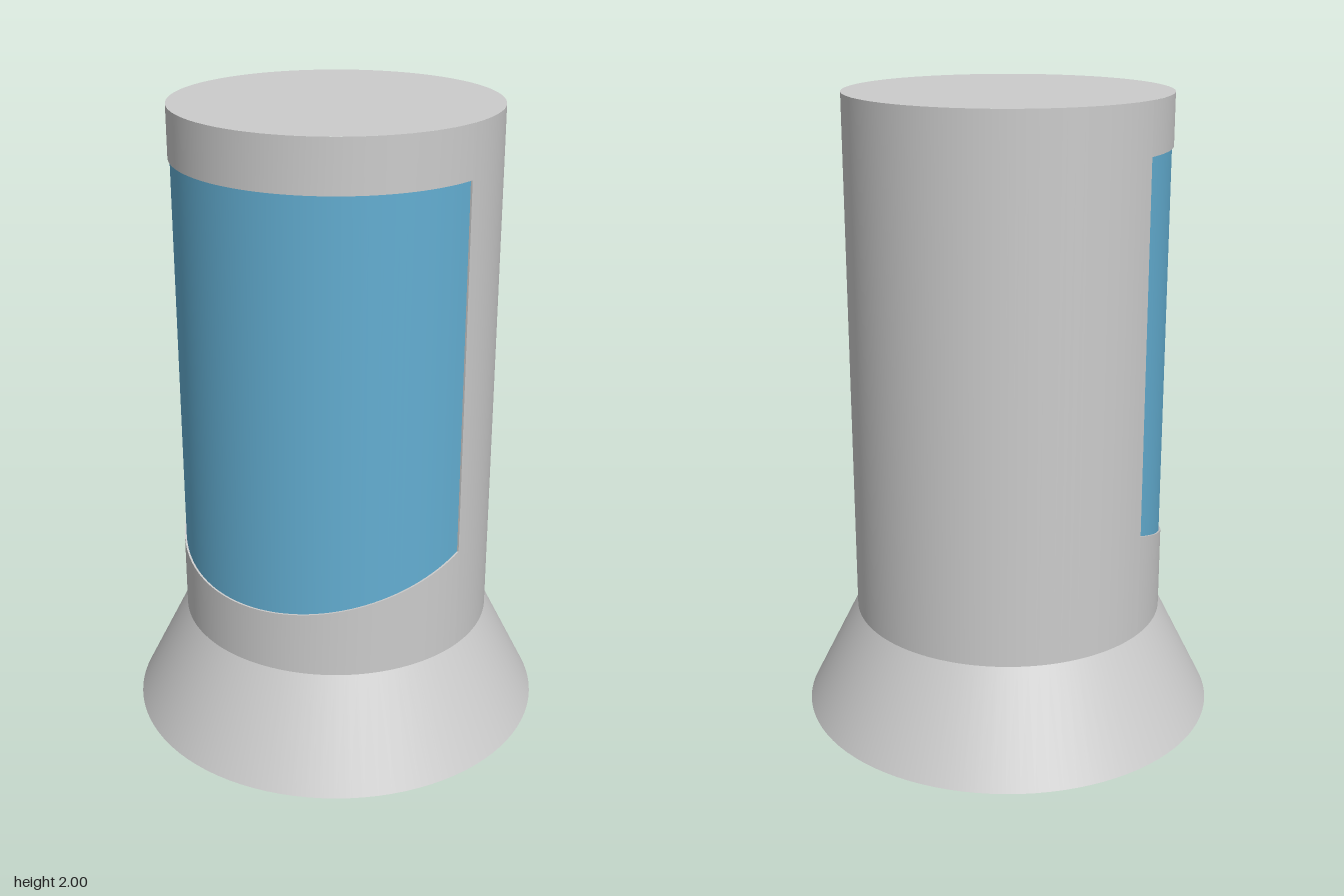
import * as THREE from 'three';

const R = 0.5, INNER = 0.494, NECK = 0.335, TOP = 2, WIN_TOP = 1.84;
const HALF = Math.acos(0.06 / R); // half angle of the recessed window

// Window sill: a slanted plane, lower towards the front
const sill = (a) => 0.67 - ((R * Math.cos(a) - 0.06) / 0.44) * 0.14;
const at = (r, a, y) => [r * Math.sin(a), y, r * Math.cos(a)];
const mix = THREE.MathUtils.lerp;

// Grid surface from a rule (u, v) -> point; faces du x dv
function surface(rule, nu, nv = 1) {
  const pos = [], index = [];
  for (let j = 0; j <= nv; j++)
    for (let i = 0; i <= nu; i++) pos.push(...rule(i / nu, j / nv));
  for (let j = 0; j < nv; j++)
    for (let i = 0; i < nu; i++) {
      const a = j * (nu + 1) + i, b = a + 1, c = a + nu + 1, d = c + 1;
      index.push(a, b, d, a, d, c);
    }
  const g = new THREE.BufferGeometry();
  g.setAttribute('position', new THREE.Float32BufferAttribute(pos, 3));
  g.setIndex(index);
  g.computeVertexNormals();
  return g;
}

export function createModel() {
  const model = new THREE.Group();
  const grey = new THREE.MeshStandardMaterial({ color: 0xcccccc });
  const blue = new THREE.MeshStandardMaterial({ color: 0x63aed2 });
  const add = (name, geometry, material = grey) => {
    const mesh = new THREE.Mesh(geometry, material);
    mesh.name = name;
    model.add(mesh);
    return mesh;
  };
  const front = (u) => mix(-HALF, HALF, u);
  const back = (u) => mix(HALF, 2 * Math.PI - HALF, u);

  // Flared foot and its underside
  const foot = add('flaredBase', new THREE.CylinderGeometry(R, 0.667, NECK, 96, 1, true));
  foot.position.y = NECK / 2;
  add('baseUnderside', new THREE.CircleGeometry(0.667, 96).rotateX(Math.PI / 2));

  // Column around the window, and its flat top
  add('columnBack', surface((u, v) => at(R, back(u), mix(NECK, TOP, v)), 64));
  add('columnBelowWindow', surface((u, v) => at(R, front(u), mix(NECK, sill(front(u)), v)), 64));
  add('columnAboveWindow', surface((u, v) => at(R, front(u), mix(WIN_TOP, TOP, v)), 64));
  add('columnTop', new THREE.CircleGeometry(R, 96).rotateX(-Math.PI / 2)).position.y = TOP;

  // Slightly recessed coloured panel
  add('windowPanel', surface((u, v) => at(INNER, front(u), mix(sill(front(u)), WIN_TOP, v)), 64), blue);

  // Thin walls of the recess
  add('recessTop', surface((u, v) => at(mix(INNER, R, v), front(u), WIN_TOP), 64));
  add('recessSill', surface((u, v) => at(mix(R, INNER, v), front(u), sill(front(u))), 64));
  add('recessLeft', surface((u, v) => at(mix(INNER, R, u), HALF, mix(sill(HALF), WIN_TOP, v)), 1));
  add('recessRight', surface((u, v) => at(mix(R, INNER, u), -HALF, mix(sill(HALF), WIN_TOP, v)), 1));

  return model;
}
